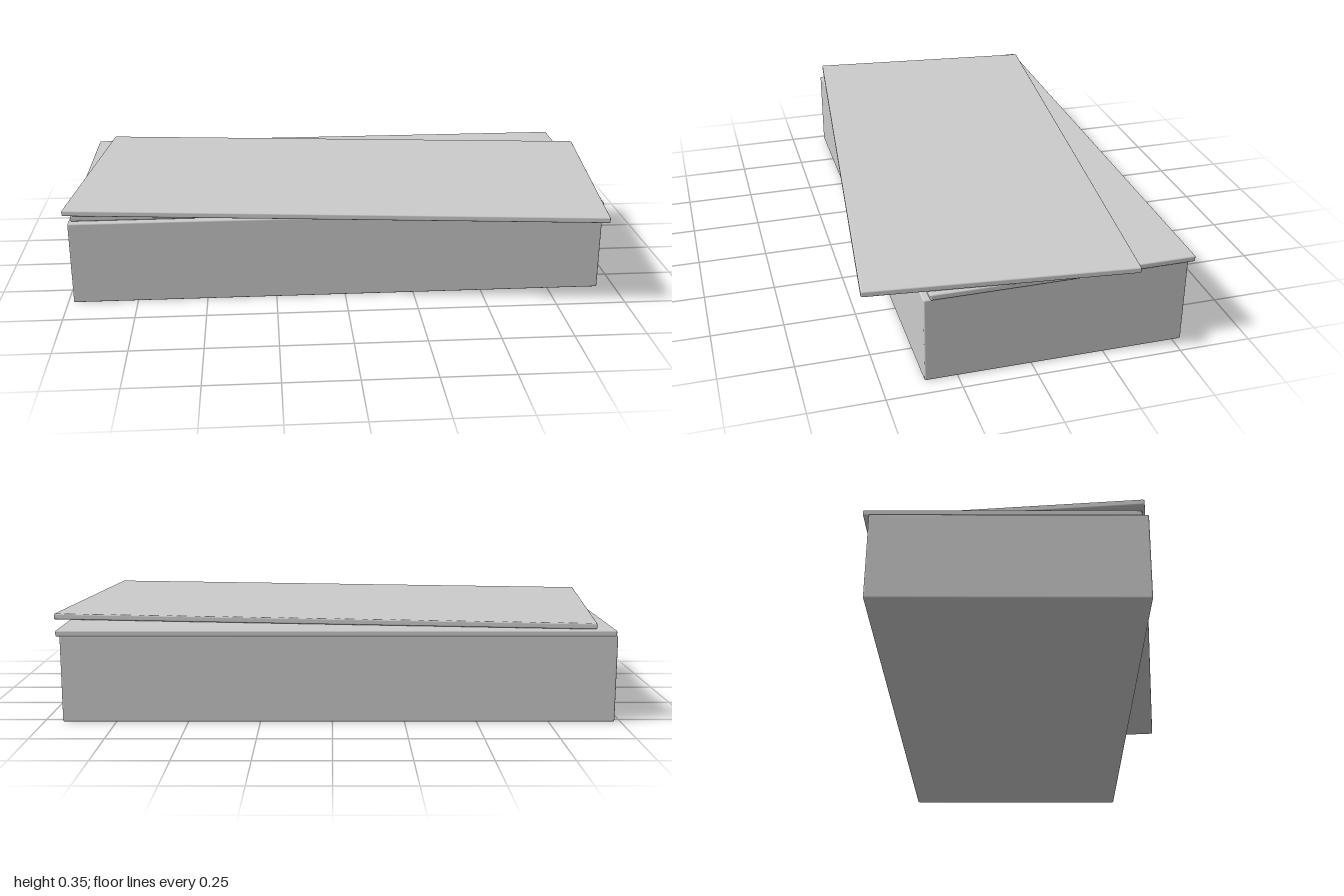
import * as THREE from 'three';
import { RoundedBoxGeometry } from 'three/addons/geometries/RoundedBoxGeometry.js';

export function createModel() {
  const group = new THREE.Group();
  const material = new THREE.MeshStandardMaterial({ color: 0xcccccc });

  // Softly edged block, placed by its centre and underside
  function block(name, width, height, depth, x, bottom, z, radius) {
    const geometry = new RoundedBoxGeometry(width, height, depth, 3, radius);
    const mesh = new THREE.Mesh(geometry, material);
    mesh.name = name;
    mesh.position.set(x, bottom + height / 2, z);
    group.add(mesh);
    return mesh;
  }

  // Thick body standing on the ground
  block('base', 1.916, 0.303, 0.89, -0.022, 0, -0.085, 0.005);

  // Thin panel, shifted slightly backwards and sideways
  block('lowerPanel', 1.916, 0.021, 0.89, -0.013, 0.304, -0.105, 0.005);

  // Thin panel on top, turned askew
  const upper = block('upperPanel', 1.916, 0.021, 0.89, 0, 0.327, 0.005, 0.005);
  upper.rotation.y = -0.107;

  return group;
}
